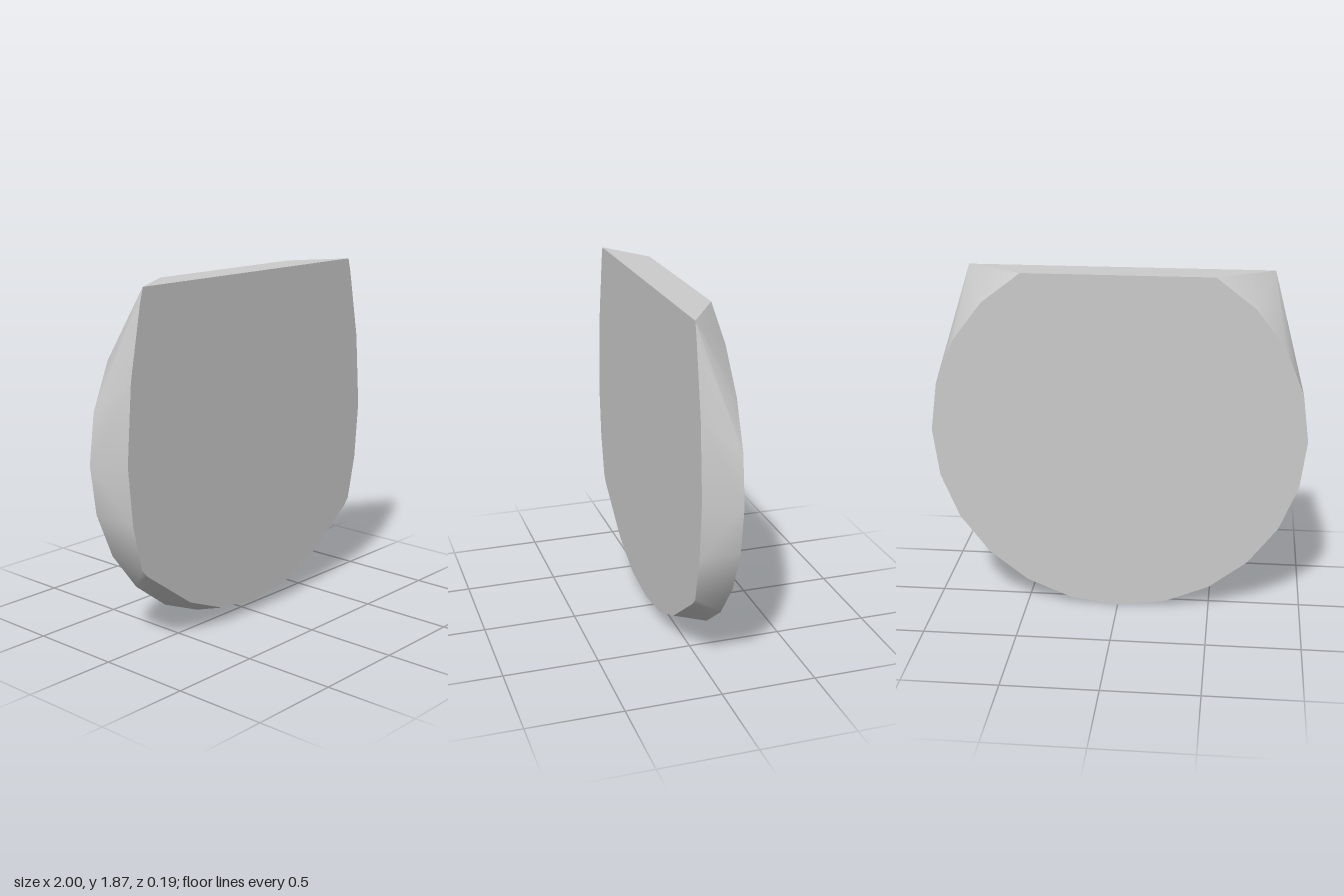
import * as THREE from 'three';
import { ConvexGeometry } from 'three/addons/geometries/ConvexGeometry.js';
import { toCreasedNormals } from 'three/addons/utils/BufferGeometryUtils.js';

const TOP = 1.866, FRONT_Z = 0.09, BACK_Z = -0.095;

export function createModel() {
  const group = new THREE.Group();
  const points = [];

  // Back outline: a 24-sided disc cut flat at the top
  for (let i = 0; i < 24; i++) {
    const a = (i / 24) * Math.PI * 2;
    const y = 1 - Math.cos(a);
    if (y < TOP + 0.01) points.push(new THREE.Vector3(Math.sin(a), Math.min(y, TOP), BACK_Z));
  }

  // Front outline: right half from top to bottom, mirrored
  const frontHalf = [
    [0.8, TOP], [0.82, 1.79], [0.89, 1.42], [0.922, 1.01], [0.895, 0.7],
    [0.84, 0.46], [0.805, 0.42], [0.5, 0.195], [0.26, 0.095], [0, 0.065],
  ];
  for (const [x, y] of frontHalf) {
    points.push(new THREE.Vector3(x, y, FRONT_Z));
    if (x > 0) points.push(new THREE.Vector3(-x, y, FRONT_Z));
  }

  // Solid plate skinned between the two outlines
  const geometry = toCreasedNormals(new ConvexGeometry(points), 0.6);
  const plate = new THREE.Mesh(geometry, new THREE.MeshStandardMaterial({ color: 0xcccccc }));
  plate.name = 'plate';
  group.add(plate);
  return group;
}
